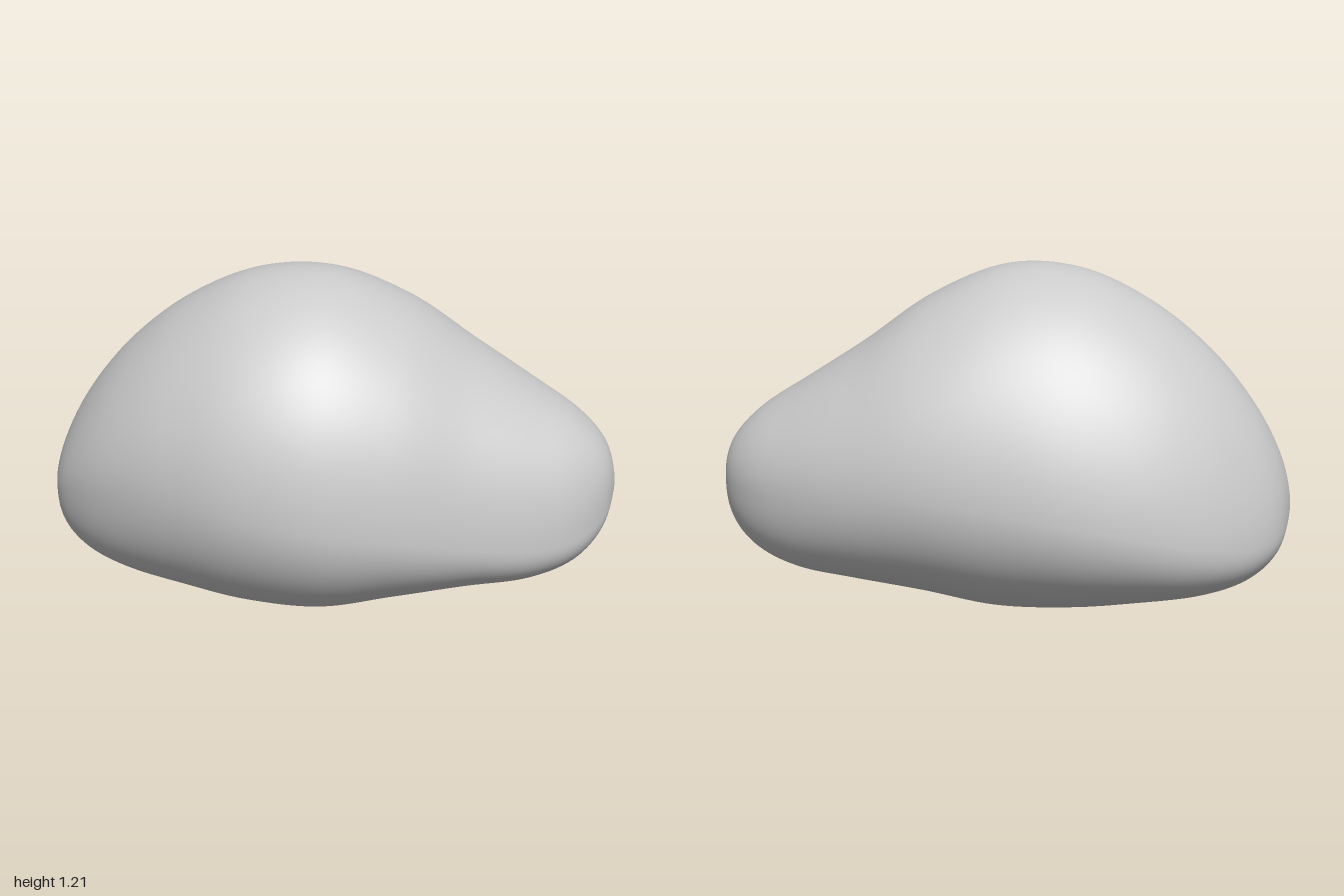
import * as THREE from 'three';
import { mergeVertices } from 'three/addons/utils/BufferGeometryUtils.js';

// Stations lie at x = -cos(t), t in equal steps, so both ends close roundly.
const heights = [ // [top, bottom]
  [0.39, 0.39], [0.55, 0.25], [0.74, 0.15], [0.93, 0.09], [1.09, 0.052], [1.195, 0.015], [1.205, 0.006],
  [1.1, 0.055], [0.93, 0.095], [0.795, 0.125], [0.69, 0.19], [0.58, 0.3], [0.45, 0.45],
];
const depths = [ // [front, back]
  [-0.02, -0.02], [0.16, -0.2], [0.29, -0.34], [0.41, -0.46], [0.515, -0.55], [0.59, -0.6], [0.597, -0.605],
  [0.525, -0.58], [0.41, -0.52], [0.31, -0.435], [0.205, -0.335], [0.075, -0.215], [-0.06, -0.06],
];
const spline = (rows) => new THREE.SplineCurve(rows.map(([a, b]) => new THREE.Vector2(a, b)));

// Roundness of a cross-section: sloping shoulders at the back left, fuller ones
// at the front right, and an underside that gets squarer towards the ends
function roundness(x, c, s) {
  if (s > 0) return 1.93 + 0.1 * c + 0.22 * x + 0.18 * x * x;
  return 2 + 0.5 * x * x;
}

// Skin of rounded cross-sections running along x
function loft(rings, sides) {
  const heightCurve = spline(heights), depthCurve = spline(depths);
  const positions = [], index = [];
  for (let i = 0; i <= rings; i++) {
    const u = i / rings;
    const x = -Math.cos(u * Math.PI);
    const { x: top, y: bottom } = heightCurve.getPoint(u);
    const { x: front, y: back } = depthCurve.getPoint(u);
    const midZ = (front + back) / 2;
    for (let j = 0; j < sides; j++) {
      const a = (j / sides) * Math.PI * 2;
      const c = Math.cos(a), s = Math.sin(a);
      const power = roundness(x, c, s);
      const r = (Math.abs(c) ** power + Math.abs(s) ** power) ** (-1 / power);
      // the widest level twists from one end to the other
      const midY = bottom + (0.41 - 0.13 * x * c) * (top - bottom);
      positions.push(x, midY + r * s * (s > 0 ? top - midY : midY - bottom), midZ + r * c * (front - back) / 2);
      if (i < rings) {
        const k = (j + 1) % sides, p = i * sides, q = p + sides;
        if (i < rings - 1) index.push(p + j, q + j, q + k);
        else index.push(p + j, q + j, p + k);
        if (i > 0 && i < rings - 1) index.push(p + j, q + k, p + k);
      }
    }
  }
  const geometry = new THREE.BufferGeometry();
  geometry.setAttribute('position', new THREE.Float32BufferAttribute(positions, 3));
  geometry.setIndex(index);
  const welded = mergeVertices(geometry, 1e-5);
  welded.computeVertexNormals();
  return welded;
}

export function createModel() {
  const model = new THREE.Group();
  model.name = 'rock';
  const stone = new THREE.Mesh(loft(96, 96), new THREE.MeshStandardMaterial({ color: 0xcccccc }));
  stone.name = 'stone';
  model.add(stone);
  return model;
}
